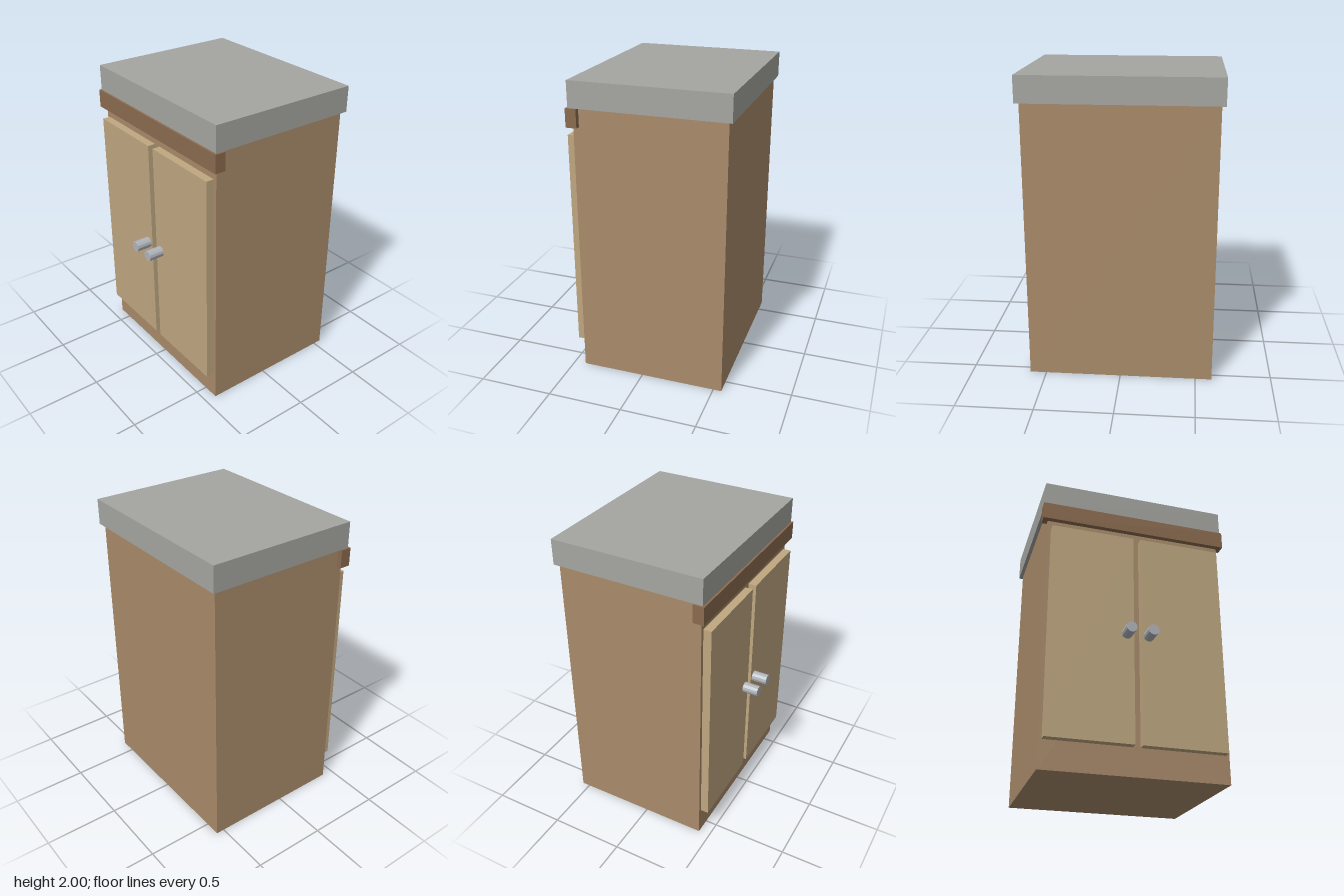
import * as THREE from 'three';

const material = (color) => new THREE.MeshStandardMaterial({ color, flatShading: true });

// Box given by its [min, max] extents on each axis
function box(name, [x0, x1], [y0, y1], [z0, z1], mat) {
  const mesh = new THREE.Mesh(new THREE.BoxGeometry(x1 - x0, y1 - y0, z1 - z0), mat);
  mesh.position.set((x0 + x1) / 2, (y0 + y1) / 2, (z0 + z1) / 2);
  mesh.name = name;
  return mesh;
}

export function createModel() {
  const group = new THREE.Group();
  group.name = 'cabinet';

  const wood = material(0xa98b6a);
  const trimWood = material(0x8b6b4e);
  const doorWood = material(0xbfa780);
  const stone = material(0xa5a5a0);
  const metal = material(0xb0b5ba);

  // Carcass, front trim rail and worktop slab
  group.add(
    box('body', [-0.608, 0.608], [0, 1.83], [-0.555, 0.422], wood),
    box('trimRail', [-0.643, 0.643], [1.71, 1.83], [0.384, 0.456], trimWood),
    box('worktop', [-0.633, 0.633], [1.83, 2], [-0.58, 0.443], stone)
  );

  // Mirrored pair of doors, each with a knob near the centre line
  for (const [side, s] of [['left', 1], ['right', -1]]) {
    const edges = [0.025 * s, 0.584 * s].sort((a, b) => a - b);
    group.add(box(side + 'Door', edges, [0.185, 1.645], [0.418, 0.475], doorWood));

    const knob = new THREE.Mesh(new THREE.CylinderGeometry(0.036, 0.036, 0.11, 12), metal);
    knob.rotation.x = Math.PI / 2;
    knob.position.set(0.073 * s, 0.918, 0.525);
    knob.name = side + 'Knob';
    group.add(knob);
  }
  return group;
}
